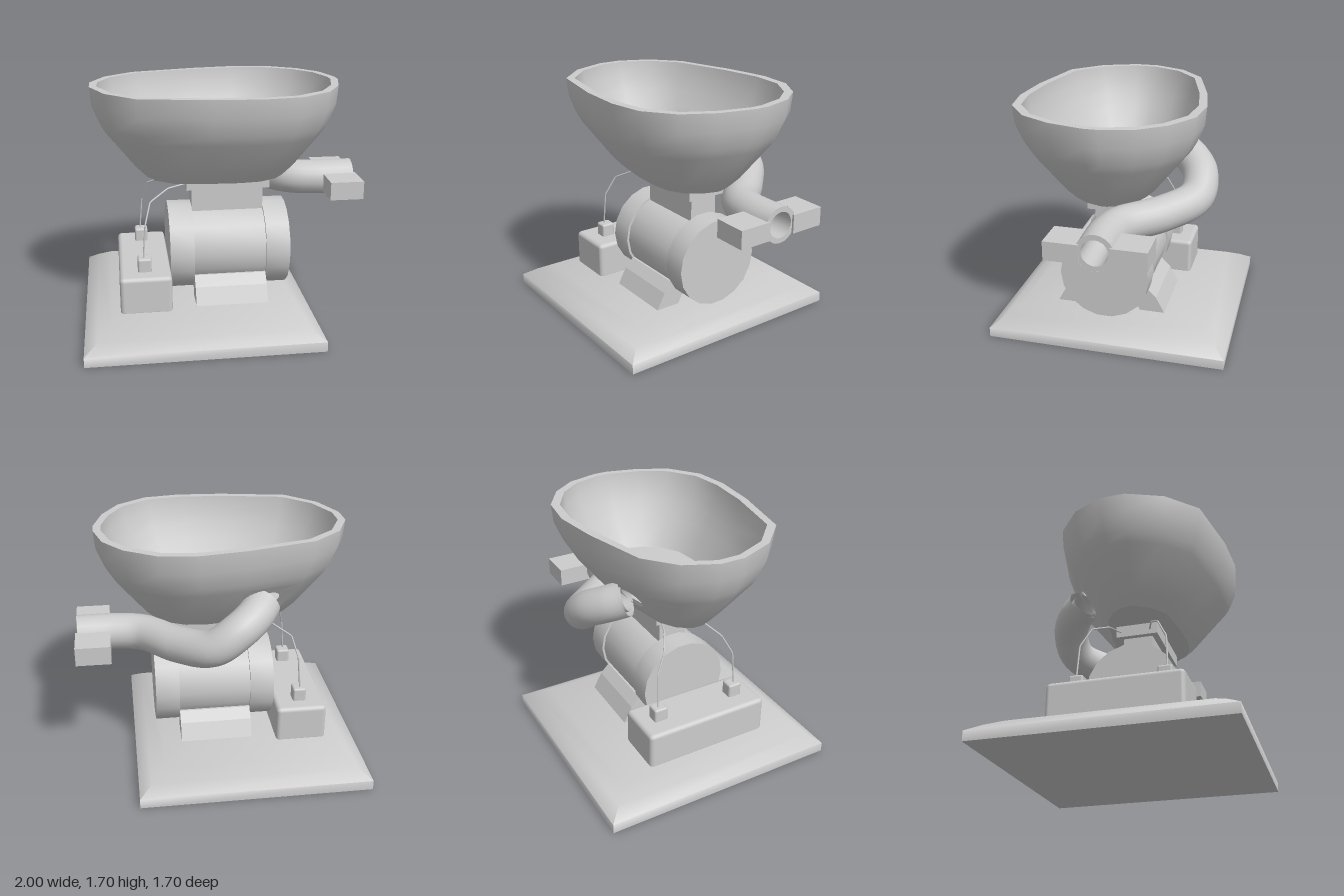
import * as THREE from 'three';
import { toCreasedNormals } from 'three/addons/utils/BufferGeometryUtils.js';
import { RoundedBoxGeometry } from 'three/addons/geometries/RoundedBoxGeometry.js';

const grey = new THREE.MeshStandardMaterial({ color: 0xcccccc });
const greyOpen = new THREE.MeshStandardMaterial({ color: 0xcccccc, side: THREE.DoubleSide });
const v3 = (x, y, z) => new THREE.Vector3(x, y, z);

// Scales a closed loop of [x, z] about a centre, ring by ring [y, sx, sz], and caps both ends.
// holes = [row, column] cells that get a round opening of holeRadius.
function loft(loop, [cx, cz], rings, holes = [], holeRadius = 0) {
  const pos = [], n = loop.length;
  const tri = (...pts) => pts.forEach(p => pos.push(p.x, p.y, p.z));
  const quad = (a, b, c, d) => { tri(a, b, c); tri(a, c, d); };
  const P = (j, i) => {
    const [y, sx, sz] = rings[j], [x, z] = loop[i % n];
    return v3(cx + (x - cx) * sx, y, cz + (z - cz) * sz);
  };
  for (let j = 0; j < rings.length - 1; j++) for (let i = 0; i < n; i++) {
    const a = P(j, i), b = P(j, i + 1), c = P(j + 1, i + 1), d = P(j + 1, i);
    if (!holes.some(h => h[0] === j && h[1] === i)) { quad(a, b, c, d); continue; }
    const at = (s, t) => a.clone().lerp(b, s).lerp(d.clone().lerp(c, s), t);
    const w = at(0, 0.5).distanceTo(at(1, 0.5)), h = at(0.5, 0).distanceTo(at(0.5, 1));
    const edge = k => {
      const u = Math.cos(k * Math.PI / 16), v = Math.sin(k * Math.PI / 16);
      const m = 0.5 / Math.max(Math.abs(u), Math.abs(v));
      return [at(0.5 + u * m, 0.5 + v * m), at(0.5 + u * holeRadius / w, 0.5 + v * holeRadius / h)];
    };
    for (let k = 0; k < 32; k++) {
      const [o0, i0] = edge(k), [o1, i1] = edge(k + 1);
      quad(o0, o1, i1, i0);
    }
  }
  const last = rings.length - 1;
  for (let i = 0; i < n; i++) {
    tri(v3(cx, rings[0][0], cz), P(0, i + 1), P(0, i));
    tri(v3(cx, rings[last][0], cz), P(last, i), P(last, i + 1));
  }
  const g = new THREE.BufferGeometry();
  g.setAttribute('position', new THREE.Float32BufferAttribute(pos, 3));
  g.computeVertexNormals();
  return g;
}

export function createModel() {
  const model = new THREE.Group();
  const add = (name, geo, mat = grey) => {
    const mesh = new THREE.Mesh(geo, mat);
    mesh.name = name;
    model.add(mesh);
    return mesh;
  };
  // Box given by its limits on each axis
  const box = (name, x0, x1, y0, y1, z0, z1, r = 0) => {
    const size = [x1 - x0, y1 - y0, z1 - z0];
    const g = r ? new RoundedBoxGeometry(...size, 2, r) : new THREE.BoxGeometry(...size);
    return add(name, g.translate((x0 + x1) / 2, (y0 + y1) / 2, (z0 + z1) / 2));
  };

  // Base slab with sloping shoulders
  const slab = [[-1, -0.85], [-1, 0.85], [0.62, 0.85], [0.62, -0.85]];
  add('base', toCreasedNormals(loft(slab, [-0.19, 0],
    [[0, 1, 1], [0.07, 1, 1], [0.13, 0.89, 0.9], [0.185, 0.765, 0.79]]), 1.05));

  // Motor drum along x, with wider end caps
  const drum = (name, x0, x1, r) => add(name, toCreasedNormals(
    new THREE.CylinderGeometry(r, r, x1 - x0, 18).rotateZ(Math.PI / 2), 0.6)
    .translate((x0 + x1) / 2, 0.515, 0.03));
  drum('motorBody', -0.23, 0.3, 0.3);
  drum('motorRightCap', -0.39, -0.22, 0.317);
  drum('motorLeftCap', 0.29, 0.46, 0.317);

  // Splayed motor feet, mirrored front to back
  const foot = [[0.4, 0.18], [0.335, 0.3], [0.27, 0.365], [0.15, 0.365], [0.15, 0.3], [0.18, 0.26], [0.22, 0.18]];
  for (const s of [1, -1]) {
    const shape = new THREE.Shape(foot.map(([z, y]) => new THREE.Vector2(z * s, y)));
    add(s > 0 ? 'frontFoot' : 'backFoot',
      new THREE.ExtrudeGeometry(shape, { depth: 0.51, bevelEnabled: false })
        .rotateY(-Math.PI / 2).translate(0.29, 0, 0.03));
  }

  // Neck and plate under the bowl
  box('neck', -0.22, 0.29, 0.74, 0.96, -0.075, 0.135);
  box('plate', -0.26, 0.33, 0.96, 1.05, -0.12, 0.18);

  // Battery, terminals and wires
  box('battery', -0.75, -0.39, 0.16, 0.44, -0.435, 0.48, 0.03);
  for (const s of [1, -1]) {
    const z = d => 0.02 + s * d;
    box('terminal', -0.62, -0.525, 0.41, 0.535, z(0.3) - 0.05, z(0.3) + 0.05, 0.015);
    const wire = new THREE.CurvePath();
    const pts = [[-0.58, 0.52, 0.31], [-0.56, 0.77, 0.3], [-0.52, 0.91, 0.23], [-0.39, 0.98, 0.15], [-0.24, 1, 0.1]]
      .map(([x, y, d]) => v3(x, y, z(d)));
    for (let i = 0; i < 4; i++) wire.add(new THREE.LineCurve3(pts[i], pts[i + 1]));
    add('wire', new THREE.TubeGeometry(wire, 40, 0.006, 6));
  }

  // Bowl: outer wall up, over the rim and down the inner wall
  const rim = [[-0.9, -0.04], [-0.9, 0.13], [-0.8, 0.38], [-0.6, 0.58], [-0.13, 0.67], [0.2, 0.69],
    [0.45, 0.65], [0.655, 0.5], [0.77, 0.29], [0.83, 0.05], [0.83, -0.05], [0.77, -0.27],
    [0.64, -0.44], [0.43, -0.57], [0.17, -0.6], [-0.15, -0.55], [-0.6, -0.43], [-0.8, -0.26]];
  const outer = [[1.045, 1], [1.12, 0.8], [1.38, 0.26], [1.44, 0.17], [1.57, 0.03], [1.7, 0]]
    .map(([y, t]) => [y, 1 - 0.43 * t, 1 - 0.58 * t]);
  const inner = [[1.7, 0], [1.6, 0.05], [1.49, 0.25], [1.38, 0.45], [1.18, 1]]
    .map(([y, t]) => [y, 0.94 - 0.275 * t, 0.91 - 0.36 * t]);
  add('bowl', toCreasedNormals(loft(rim, [-0.03, 0.05], [...outer, ...inner], [[1, 15], [9, 15]], 0.095), 0.72));

  // Outlet pipe from the back of the bowl round to the left side
  const path = new THREE.CatmullRomCurve3([
    v3(-0.275, 1.25, -0.36), v3(-0.2, 1.2, -0.46), v3(-0.08, 1.13, -0.535), v3(0.08, 1.02, -0.53),
    v3(0.3, 0.965, -0.34), v3(0.52, 0.955, -0.11), v3(0.7, 0.955, -0.06), v3(0.98, 0.955, -0.06)]);
  add('pipe', new THREE.TubeGeometry(path, 48, 0.126, 20), greyOpen);
  add('pipeBore', new THREE.TubeGeometry(path, 48, 0.09, 20), greyOpen);
  add('pipeLip', new THREE.RingGeometry(0.09, 0.126, 20).rotateY(Math.PI / 2).translate(0.98, 0.955, -0.06), greyOpen);

  // Flange lugs either side of the pipe mouth
  box('frontLug', 0.755, 0.995, 0.875, 1.005, 0.04, 0.275);
  box('backLug', 0.755, 0.995, 0.875, 1.005, -0.4, -0.16);

  return model;
}
